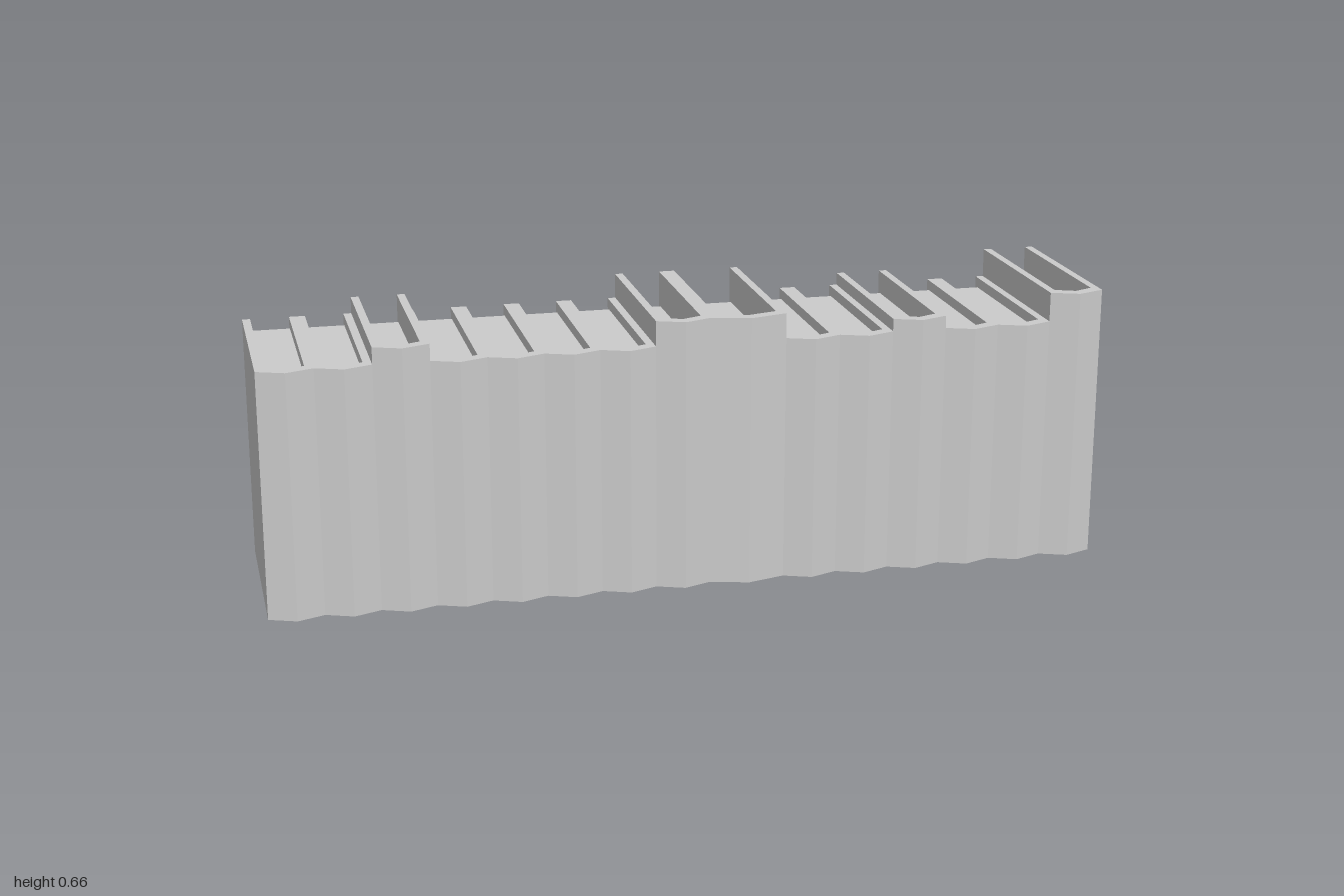
import * as THREE from 'three';
import { mergeGeometries } from 'three/addons/utils/BufferGeometryUtils.js';

const T = 0.019;          // cover thickness
const BACK = -0.24;       // back edge of the covers
const PAGE_BACK = -0.225; // back of the page block
const PAGE_TOP = 0.565;

const material = new THREE.MeshStandardMaterial({
  color: 0xcccccc, flatShading: true, side: THREE.DoubleSide,
});

// Upright strip along [x, z] points; the foot may follow a shifted path
function wall(top, y0, y1, foot = top) {
  const pos = [];
  for (let i = 0; i < top.length - 1; i++) {
    const a = [foot[i][0], y0, foot[i][1]];
    const b = [foot[i + 1][0], y0, foot[i + 1][1]];
    const c = [top[i + 1][0], y1, top[i + 1][1]];
    const d = [top[i][0], y1, top[i][1]];
    pos.push(...a, ...b, ...c, ...a, ...c, ...d);
  }
  const g = new THREE.BufferGeometry();
  g.setAttribute('position', new THREE.Float32BufferAttribute(pos, 3));
  g.computeVertexNormals();
  return g;
}

// Flat horizontal face with an [x, z] outline
function cap(points, y) {
  const shape = new THREE.Shape(points.map(([x, z]) => new THREE.Vector2(x, -z)));
  const g = new THREE.ShapeGeometry(shape).rotateX(-Math.PI / 2).translate(0, y, 0).toNonIndexed();
  g.deleteAttribute('uv');
  return g;
}

function mesh(name, parts) {
  const m = new THREE.Mesh(mergeGeometries(parts), material);
  m.name = name;
  return m;
}

// One book with a ridged spine; leftH and rightH are the neighbours' heights
function makeBook(x0, x1, h, leftH, rightH) {
  const m = (x0 + x1) / 2, i0 = x0 + T, i1 = x1 - T;
  const outer = [[x0, BACK], [x0, 0.215], [m, 0.24], [x1, 0.215], [x1, BACK]];
  const inner = [[i1, BACK], [i1, 0.191], [m, 0.211], [i0, 0.191], [i0, BACK]];
  const pocket = [[i1, PAGE_BACK], ...inner.slice(1, 4), [i0, PAGE_BACK]];
  const pages = [[i1, PAGE_BACK], [i1, 0.182], [m, 0.202], [i0, 0.182], [i0, PAGE_BACK]];

  const cover = [
    wall(outer.slice(1, 4), 0, h),                   // spine
    wall([outer[4], inner[0], pocket[0]], 0, h),     // back edges
    wall([pocket[4], inner[4], outer[0]], 0, h),
    wall(pocket, PAGE_TOP, h, pages),                // inside above the pages
    cap([...outer, ...inner], h),                    // top rim
  ];
  // Boards show only where they rise above a neighbour
  if (h > leftH) cover.push(wall(outer.slice(0, 2), leftH, h));
  if (h > rightH) cover.push(wall(outer.slice(3, 5), rightH, h));

  const book = new THREE.Group();
  book.name = 'book';
  book.add(mesh('cover', cover));
  book.add(mesh('pages', [wall([pages[0], pages[4]], 0, PAGE_TOP), cap(pages, PAGE_TOP)]));
  return book;
}

export function createModel() {
  const row = new THREE.Group();
  row.name = 'bookRow';
  const S = 0.59; // common height
  const heights = [S, S, 0.63, S, S, S, S, 0.65, 0.65, S, S, 0.62, S, S, 0.66];
  let x = -1;
  heights.forEach((h, i) => {
    const width = i === 8 ? 0.18 : 0.13; // one thick volume
    row.add(makeBook(x, x + width, h, heights[i - 1] ?? 0, heights[i + 1] ?? 0));
    x += width;
  });
  return row;
}
